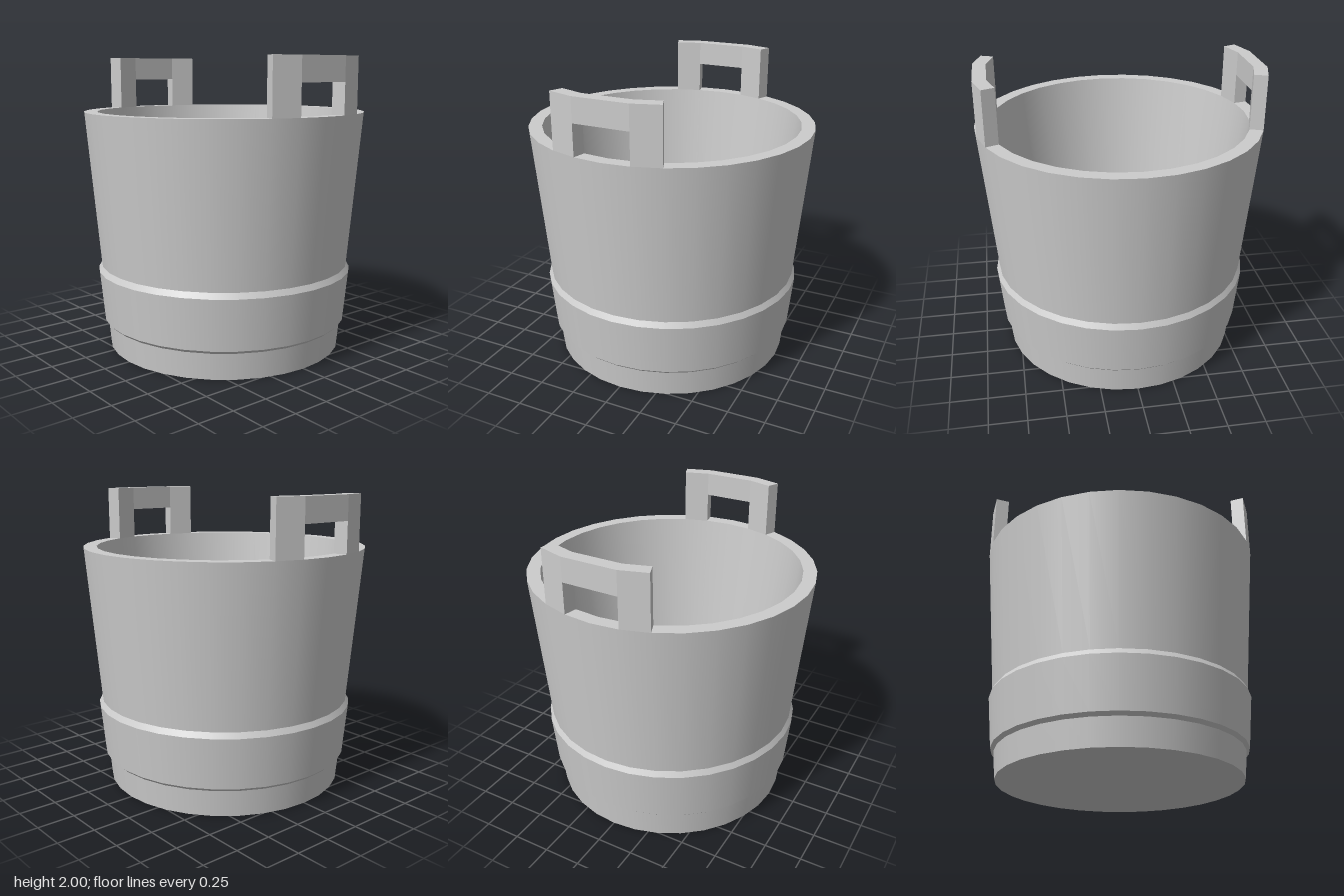
import * as THREE from 'three';

const SIDES = 32;
const RIM_Y = 1.635, RIM_OUT = 0.96, RIM_IN = 0.87;

export function createModel() {
  const model = new THREE.Group();
  model.name = 'bucket';
  const grey = new THREE.MeshStandardMaterial({ color: 0xcccccc });
  grey.name = 'plain grey';

  const add = (name, geometry, parent = model) => {
    const mesh = new THREE.Mesh(geometry, grey);
    mesh.name = name;
    parent.add(mesh);
    return mesh;
  };

  // Bucket shell: one ring per profile step, smooth around and crisp between steps
  const profile = [
    ['underside', 0, 0],
    ['foot', 0.815, 0],
    ['bandLowerEdge', 0.832, 0.178],
    ['band', 0.855, 0.2],
    ['bandUpperEdge', 0.888, 0.543],
    ['outerWall', 0.867, 0.58],
    ['rim', RIM_OUT, RIM_Y],
    ['innerWall', RIM_IN, RIM_Y],
    ['floor', 0.705, 0.12],
    ['end', 0, 0.12],
  ];
  for (let i = 0; i < profile.length - 1; i++) {
    const points = [profile[i], profile[i + 1]].map(([, r, y]) => new THREE.Vector2(r, y));
    add(profile[i][0], new THREE.LatheGeometry(points, SIDES));
  }

  // Upright block following the rim through the given multiples of one side
  const rimBlock = (steps, bottom, top) => {
    const at = (r, k) => {
      const a = (k * Math.PI * 2) / SIDES;
      return new THREE.Vector2(r * Math.cos(a), r * Math.sin(a));
    };
    const outer = steps.map((k) => at(RIM_OUT, k));
    const inner = steps.map((k) => at(RIM_IN, k)).reverse();
    return new THREE.ExtrudeGeometry(new THREE.Shape([...outer, ...inner]), {
      depth: top - bottom, bevelEnabled: false,
    }).rotateX(-Math.PI / 2).translate(0, bottom, 0);
  };

  // Two lug handles: a pair of posts with a grip bar over the hand hole
  for (const [name, turn] of [['leftHandle', 0], ['rightHandle', Math.PI]]) {
    const handle = new THREE.Group();
    handle.name = name;
    handle.rotation.y = turn;
    add('frontPost', rimBlock([-2, -1], RIM_Y, 1.84), handle);
    add('backPost', rimBlock([1, 2], RIM_Y, 1.84), handle);
    add('gripBar', rimBlock([-2, -1, 1, 2], 1.84, 2), handle);
    model.add(handle);
  }
  return model;
}
